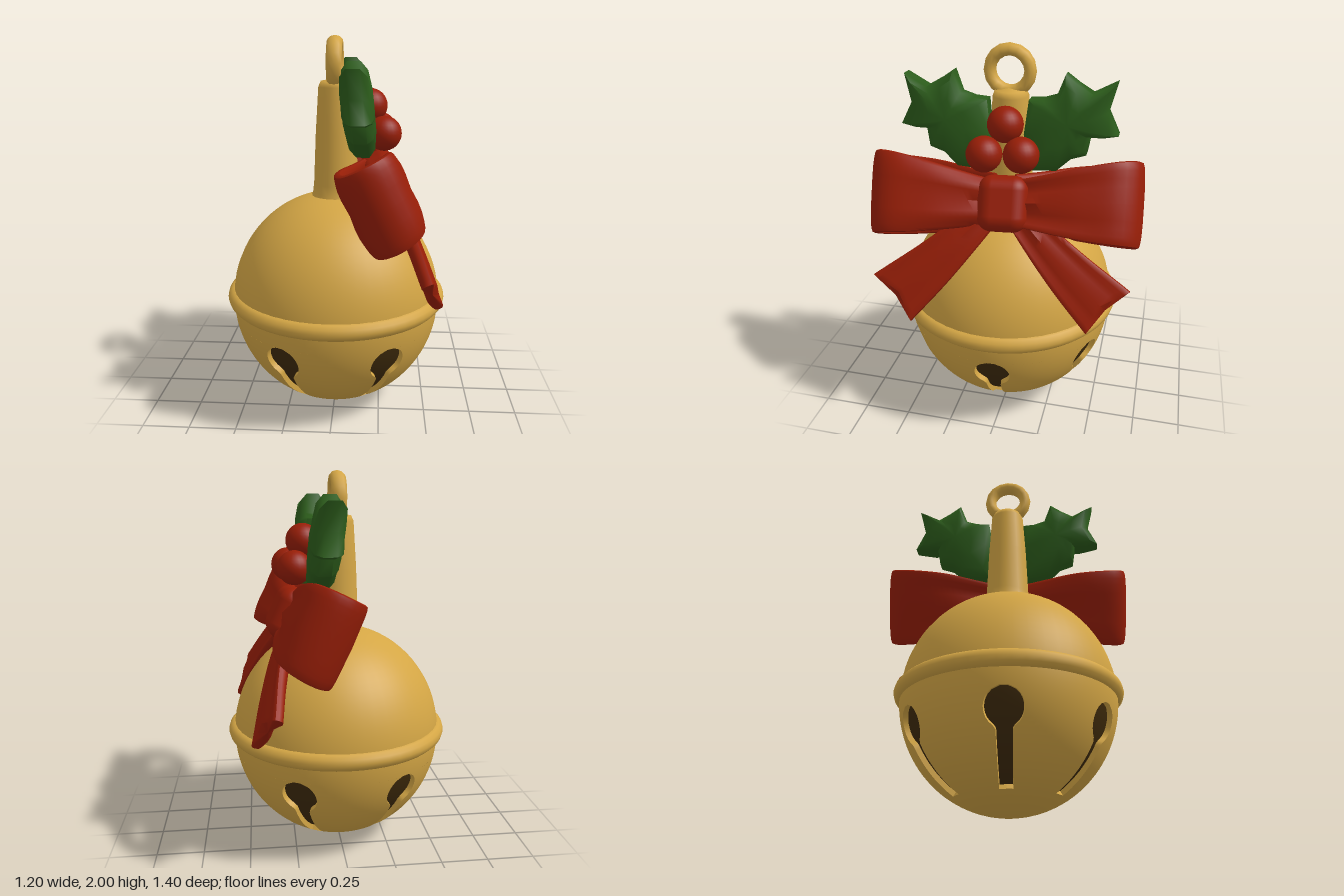
import * as THREE from 'three';
import { toCreasedNormals } from 'three/addons/utils/BufferGeometryUtils.js';
import { RoundedBoxGeometry } from 'three/addons/geometries/RoundedBoxGeometry.js';

const V = (x, y, z) => new THREE.Vector3(x, y, z);
const material = (name, color) => Object.assign(new THREE.MeshStandardMaterial({ color }), { name });

function add(parent, name, geometry, mat, x = 0, y = 0, z = 0) {
  const mesh = new THREE.Mesh(geometry, mat);
  mesh.name = name;
  mesh.position.set(x, y, z);
  parent.add(mesh);
  return mesh;
}

// Skins rings of points; rings run counter-clockwise about the advance unless flipped
function loft(rings, { flip = false, crease = 0.8, closed = true } = {}) {
  const n = rings[0].length, index = [];
  for (let i = 0; i < rings.length - 1; i++) {
    for (let j = 0; j < (closed ? n : n - 1); j++) {
      const a = i * n + j, b = i * n + (j + 1) % n, c = b + n, d = a + n;
      if (flip) index.push(a, c, b, a, d, c);
      else index.push(a, b, c, a, c, d);
    }
  }
  const g = new THREE.BufferGeometry().setFromPoints(rings.flat());
  g.setIndex(index);
  return toCreasedNormals(g, crease);
}

// Adds a closing point at each end of a row of rings
function capped(rings) {
  const cap = ring => {
    const c = V(0, 0, 0);
    ring.forEach(p => c.addScaledVector(p, 1 / ring.length));
    return ring.map(() => c.clone());
  };
  return [cap(rings[0]), ...rings, cap(rings.at(-1))];
}

// Flat band swept along a curve, with soft folds and an optional notched end
function ribbon(points, widthDir, halfWidth, { steps, thick, fold, notch = 0 }) {
  const curve = new THREE.CatmullRomCurve3(points);
  const soft = (v, p) => Math.sign(v) * Math.abs(v) ** p;
  const rings = [];
  for (let i = 0; i <= steps; i++) {
    const t = i / steps, p = curve.getPointAt(t), T = curve.getTangentAt(t);
    const W = widthDir(T).normalize();
    const N = T.clone().cross(W).normalize();
    const ring = [];
    for (let j = 0; j < 24; j++) {
      const a = j / 24 * Math.PI * 2, u = soft(Math.cos(a), 0.7);
      ring.push(p.clone()
        .addScaledVector(W, u * halfWidth(t))
        .addScaledVector(N, soft(Math.sin(a), 0.5) * thick + fold(t) * Math.cos(u * Math.PI * 2))
        .addScaledVector(T, notch * (Math.abs(u) - 0.5) * t ** 4));
    }
    rings.push(ring);
  }
  return loft(capped(rings));
}

const RX = 0.57, RY = 0.59;

// Half width of the keyhole opening at a height
function slotWidth(y) {
  const circle = Math.sqrt(Math.max(0, 0.094 ** 2 - (y - 0.393) ** 2));
  return Math.max(circle, y < 0.4 ? 0.03 + 0.03 * y : 0.015);
}

// Half of one sixth of the lower shell: outer skin and the wall of the slot
function addShellPart(parent, centre, side, mat) {
  const t0 = Math.acos(1 - 0.08 / RY), t1 = Math.acos(1 - 0.485 / RY);
  const rows = [];
  for (let i = 0; i <= 7; i++) rows.push([t0 * i / 7, false]);
  for (let i = 0; i <= 28; i++) rows.push([t0 + (t1 - t0) * i / 28, true]);
  for (let i = 0; i <= 3; i++) rows.push([t1 + (Math.PI / 2 - t1) * i / 3, false]);
  const skin = [], wall = [];
  for (const [t, open] of rows) {
    const r = RX * Math.sin(t), y = RY * (1 - Math.cos(t));
    const start = open ? Math.asin(slotWidth(y) / r) : 0;
    const at = (j, k) => {
      const a = centre + side * (start + (Math.PI / 6 - start) * j / 6);
      return V(Math.cos(a) * r * k, RY + (y - RY) * k, Math.sin(a) * r * k);
    };
    skin.push([0, 1, 2, 3, 4, 5, 6].map(j => at(j, 1)));
    wall.push([at(0, 0.93), at(0, 1)]);
  }
  const g = loft(skin, { flip: side > 0, closed: false });
  const p = g.attributes.position;
  for (let i = 0; i < p.count; i++) {
    const n = V(p.getX(i) / RX ** 2, (p.getY(i) - RY) / RY ** 2, p.getZ(i) / RX ** 2).normalize();
    g.attributes.normal.setXYZ(i, n.x, n.y, n.z);
  }
  add(parent, 'shellSkin', g, mat);
  add(parent, 'slotWall', loft(wall, { flip: side > 0, closed: false }), mat);
}

export function createModel() {
  const gold = material('gold', 0xd4a645);
  const brown = material('darkBrown', 0x3e2a0b);
  const red = material('red', 0x971e07);
  const green = material('green', 0x2c5c1b);
  const root = new THREE.Group();
  root.name = 'bellOrnament';

  // Bell body
  const bell = new THREE.Group();
  bell.name = 'bell';
  bell.position.z = 0.02;
  root.add(bell);

  const lower = new THREE.Group();
  lower.name = 'slottedLowerShell';
  bell.add(lower);
  for (let k = 0; k < 6; k++) {
    for (const side of [1, -1]) addShellPart(lower, k * Math.PI / 3 - 0.05, side, gold);
  }

  // Dark inside behind the slots
  const core = new THREE.SphereGeometry(1, 48, 16, 0, Math.PI * 2, Math.PI / 2, Math.PI / 2);
  core.scale(RX * 0.955, RY * 0.955, RX * 0.955);
  add(bell, 'darkInside', core, brown, 0, RY, 0);

  const dome = new THREE.SphereGeometry(1, 48, 20, 0, Math.PI * 2, 0, Math.PI / 2);
  dome.scale(RX, RY, RX);
  add(bell, 'upperDome', dome, gold, 0, RY, 0);
  add(bell, 'rim', new THREE.TorusGeometry(0.555, 0.047, 12, 56), gold, 0, 0.61, 0).rotation.x = Math.PI / 2;

  // Neck and hanging ring
  const neck = [[0.14, 1.14], [0.125, 1.18], [0.119, 1.23], [0.108, 1.5], [0.093, 1.74], [0.08, 1.77], [0, 1.785]]
    .map(p => new THREE.Vector2(...p));
  add(bell, 'neck', new THREE.LatheGeometry(neck, 20), gold, 0, 0, -0.005);
  const ring = add(bell, 'hangingRing', new THREE.TorusGeometry(0.104, 0.032, 10, 16), gold, -0.005, 1.864, 0);
  ring.rotation.y = Math.PI / 2;
  ring.scale.z = 1.3;

  // Bow, leaning against the dome
  const bow = new THREE.Group();
  bow.name = 'bow';
  bow.position.set(0.2, 1.25, 0);
  bow.rotation.set(0, 0.1, 0.435);
  root.add(bow);
  add(bow, 'knot', new RoundedBoxGeometry(0.2, 0.285, 0.255, 5, 0.075), red, 0.05, -0.02, 0);

  const loopPath = [[0.06, -0.015, 0.05], [0.09, -0.01, 0.2], [0.115, 0, 0.4], [0.11, 0.01, 0.58], [0.06, 0.01, 0.65],
    [-0.03, 0.005, 0.672], [-0.11, 0, 0.63], [-0.145, 0, 0.5], [-0.135, 0, 0.36], [-0.08, -0.01, 0.18], [-0.02, -0.015, 0.05]];
  const tailPath = [[0.03, -0.04, 0.05], [0.05, -0.2, 0.2], [0.045, -0.36, 0.36], [0.03, -0.515, 0.53]];
  for (const s of [1, -1]) {
    const side = s > 0 ? 'left' : 'right';
    add(bow, side + 'Loop', ribbon(
      loopPath.map(([x, y, z]) => V(x, y, z * s)),
      () => V(0, 1, 0),
      t => 0.115 + 0.085 * Math.sin(Math.PI * t) ** 1.2 + 0.035 * t,
      { steps: 44, thick: 0.028, fold: t => 0.014 * Math.cos(Math.PI * t) ** 2 }), red);
    add(bow, side + 'Tail', ribbon(
      tailPath.map(([x, y, z]) => V(x, y, z * s)),
      T => V(1, 0, 0).cross(T),
      t => 0.065 + 0.09 * t,
      { steps: 24, thick: 0.034, fold: t => 0.01 * (1 - 0.5 * t), notch: 0.055 }), red);
  }

  // Holly leaves, domed on both faces
  const outline = [[0.1, 1.75], [0.17, 1.755], [0.235, 1.775], [0.275, 1.88], [0.34, 1.835], [0.41, 1.795],
    [0.525, 1.855], [0.49, 1.715], [0.545, 1.605], [0.47, 1.59], [0.41, 1.59], [0.395, 1.5],
    [0.32, 1.475], [0.25, 1.41], [0.1, 1.4], [0.08, 1.58]];
  const layers = [[0, -0.08], [0.45, -0.078], [0.82, -0.065], [1, -0.033], [1, 0.033], [0.82, 0.065], [0.45, 0.078], [0, 0.08]];
  for (const s of [1, -1]) {
    const rings = layers.map(([k, x]) => outline.map(([z, y]) => {
      const py = 1.65 + (y - 1.65) * k, pz = 0.3 + (z - 0.3) * k;
      return V(x - 0.1 * (py - 1.65), py, pz * s);
    }));
    add(root, s > 0 ? 'leftLeaf' : 'rightLeaf', loft(rings, { flip: s < 0, crease: 1.1 }), green, s > 0 ? 0.125 : 0.087, 0, 0);
  }

  // Berries
  for (const [x, y, z] of [[0.18, 1.643, 0], [0.255, 1.51, 0.09], [0.23, 1.51, -0.09]]) {
    add(root, 'berry', new THREE.SphereGeometry(0.09, 24, 16), red, x, y, z);
  }
  return root;
}
